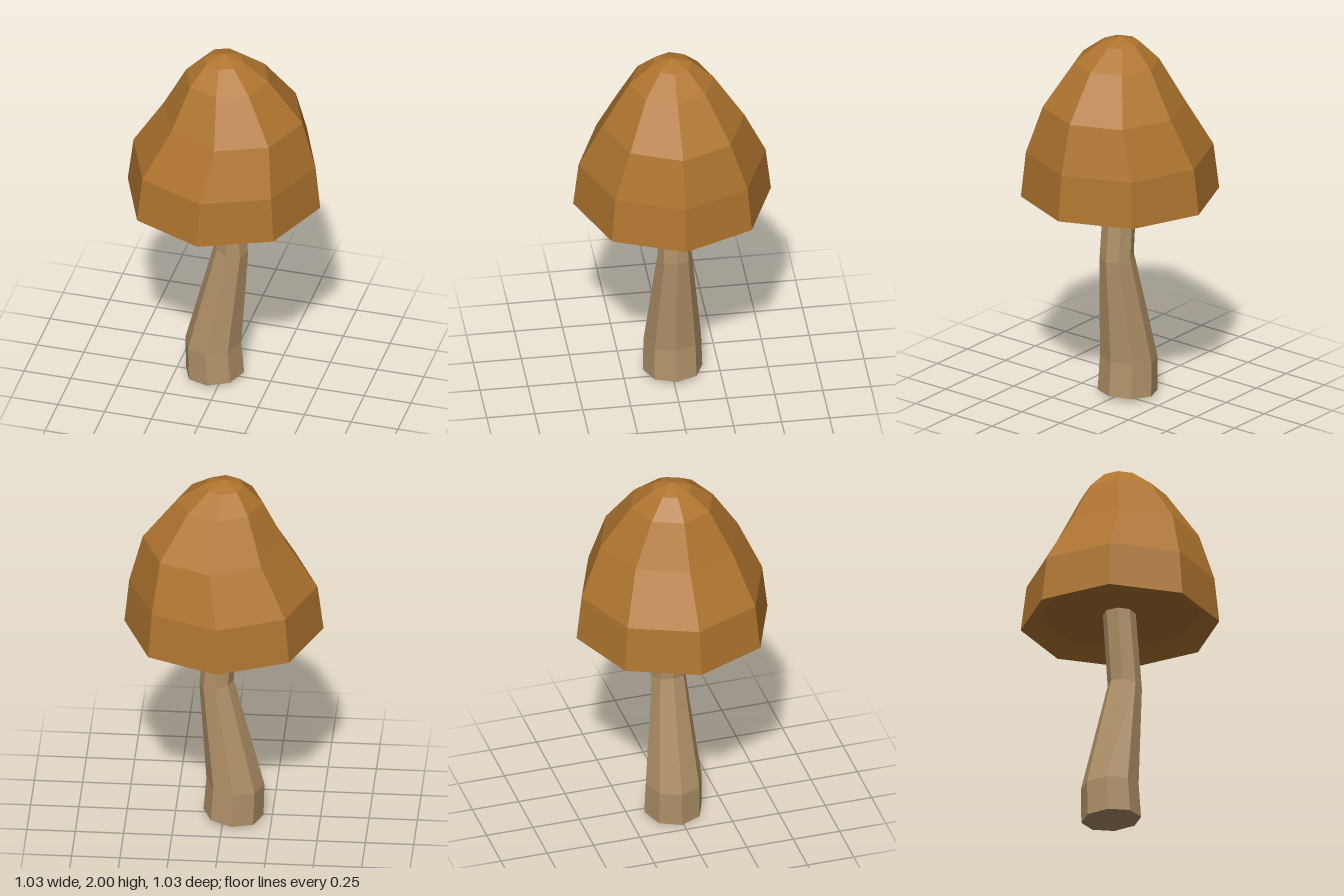
import * as THREE from 'three';

const SIDES = 8;

// Lofts eight-sided rings [centreX, centreY, centreZ, radius, slope along x]; radius 0 closes the form.
function loft(name, rings, color) {
  const point = ([cx, cy, cz, r, slope = 0], i) => {
    const a = (i % SIDES) / SIDES * Math.PI * 2;
    const dx = Math.cos(a) * r;
    return [cx + dx, cy + dx * slope, cz + Math.sin(a) * r];
  };
  const positions = [];
  for (let k = 0; k < rings.length - 1; k++) {
    const low = rings[k], high = rings[k + 1];
    for (let i = 0; i < SIDES; i++) {
      const a = point(low, i), b = point(low, i + 1);
      const c = point(high, i + 1), d = point(high, i);
      if (low[3] > 0) positions.push(...a, ...d, ...b);
      if (high[3] > 0) positions.push(...b, ...d, ...c);
    }
  }
  const geometry = new THREE.BufferGeometry();
  geometry.setAttribute('position', new THREE.Float32BufferAttribute(positions, 3));
  geometry.computeVertexNormals();
  const mesh = new THREE.Mesh(geometry, new THREE.MeshStandardMaterial({ color, flatShading: true }));
  mesh.name = name;
  return mesh;
}

export function createModel() {
  const group = new THREE.Group();
  group.name = 'mushroom';

  // Bent stem with a slanted foot, running up into the cap
  group.add(loft('stem', [
    [-0.05, 0.017, -0.01, 0, 0.08],
    [-0.05, 0.017, -0.01, 0.155, 0.08],
    [-0.06, 0.202, -0.01, 0.15, 0.08],
    [0.038, 0.795, -0.008, 0.089, -0.17],
    [0.0, 1.22, -0.008, 0.085],
    [0.0, 1.22, -0.008, 0],
  ], 0xb09168));

  // Cap: recessed underside, rim, then the lopsided dome
  group.add(loft('cap', [
    [0, 1.2, 0, 0],
    [0, 1.2, 0, 0.42],
    [0, 1.132, 0, 0.515],
    [0.003, 1.378, 0, 0.487],
    [0.05, 1.64, 0, 0.37],
    [0.02, 1.87, 0.005, 0.22],
    [0, 1.965, 0, 0.103],
    [0, 2, 0, 0],
  ], 0xb0752f));

  return group;
}
